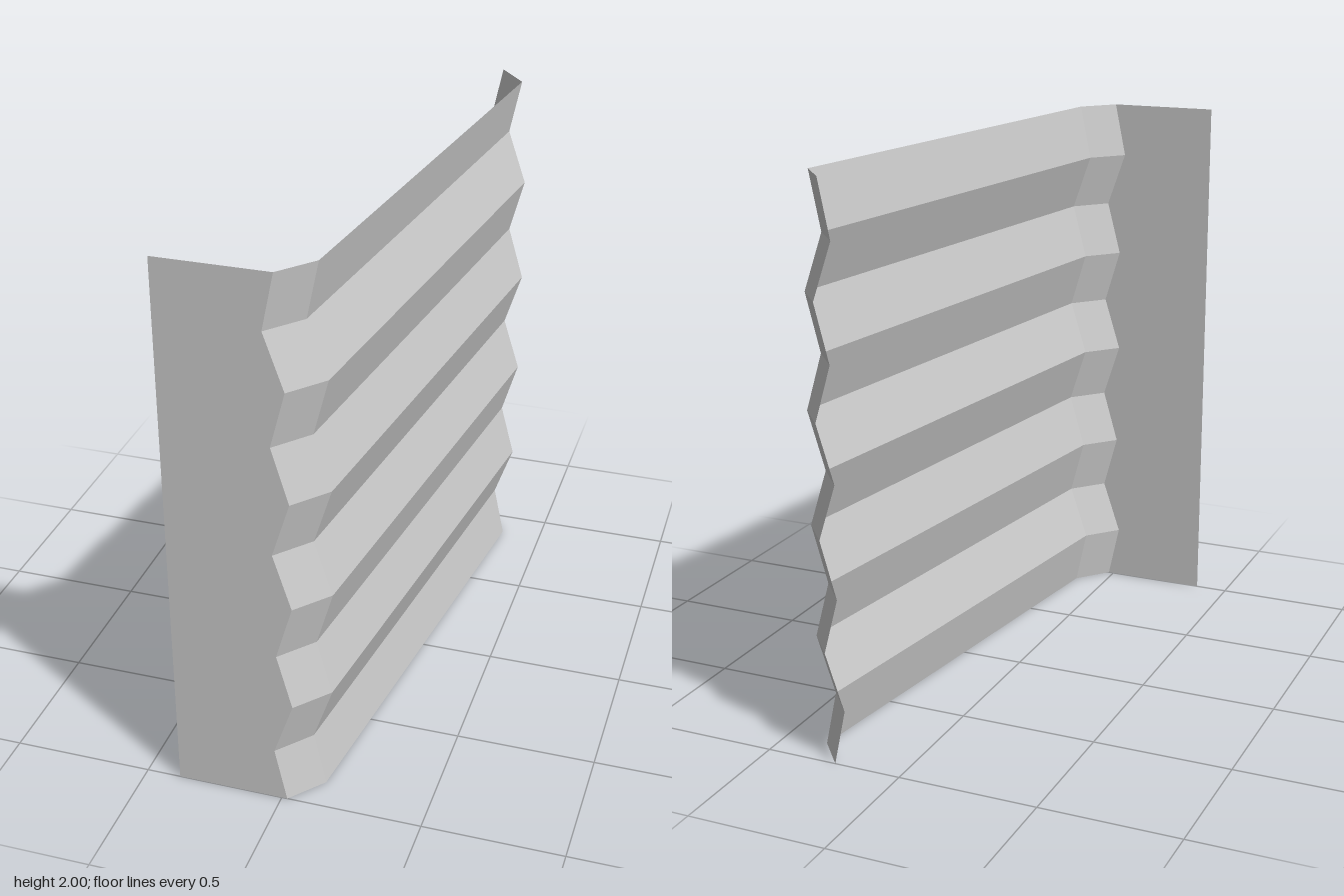
import * as THREE from 'three';

const material = new THREE.MeshStandardMaterial({
  color: 0xcccccc, flatShading: true, side: THREE.DoubleSide,
});

// Zigzag of the front edge: x at every 0.2 of height, mirrored about y = 1
const lowerHalf = [0.02, -0.022, 0.047, -0.006, 0.053, -0.01];
const zigzag = [...lowerHalf, ...lowerHalf.slice(0, -1).reverse()];

// Plan of the folded sheet: x offset and z of each vertical fold
const folds = [[0, 1], [0.102, 0.88], [0.322, -0.88], [0.222, -1]];

// Surface stretched between vertical columns of points
function sheet(name, columns) {
  const positions = [];
  for (let c = 0; c < columns.length - 1; c++) {
    const a = columns[c], b = columns[c + 1];
    for (let i = 0; i < a.length - 1; i++) {
      for (const p of [a[i], b[i], b[i + 1], a[i], b[i + 1], a[i + 1]]) positions.push(...p);
    }
  }
  const geometry = new THREE.BufferGeometry();
  geometry.setAttribute('position', new THREE.Float32BufferAttribute(positions, 3));
  geometry.computeVertexNormals();
  const mesh = new THREE.Mesh(geometry, material);
  mesh.name = name;
  return mesh;
}

export function createModel() {
  const group = new THREE.Group();
  group.name = 'corrugatedPanel';

  // Corrugated sheet with a bent flange at each end
  const columns = folds.map(([dx, z]) => zigzag.map((x, i) => [x + dx, i * 0.2, z]));
  group.add(sheet('corrugatedSheet', columns));

  // Flat plate closing against the zigzag front edge
  const outerEdge = zigzag.map((x, i) => [-0.378, i * 0.2, 1]);
  group.add(sheet('flatEndPlate', [outerEdge, columns[0]]));

  return group;
}
